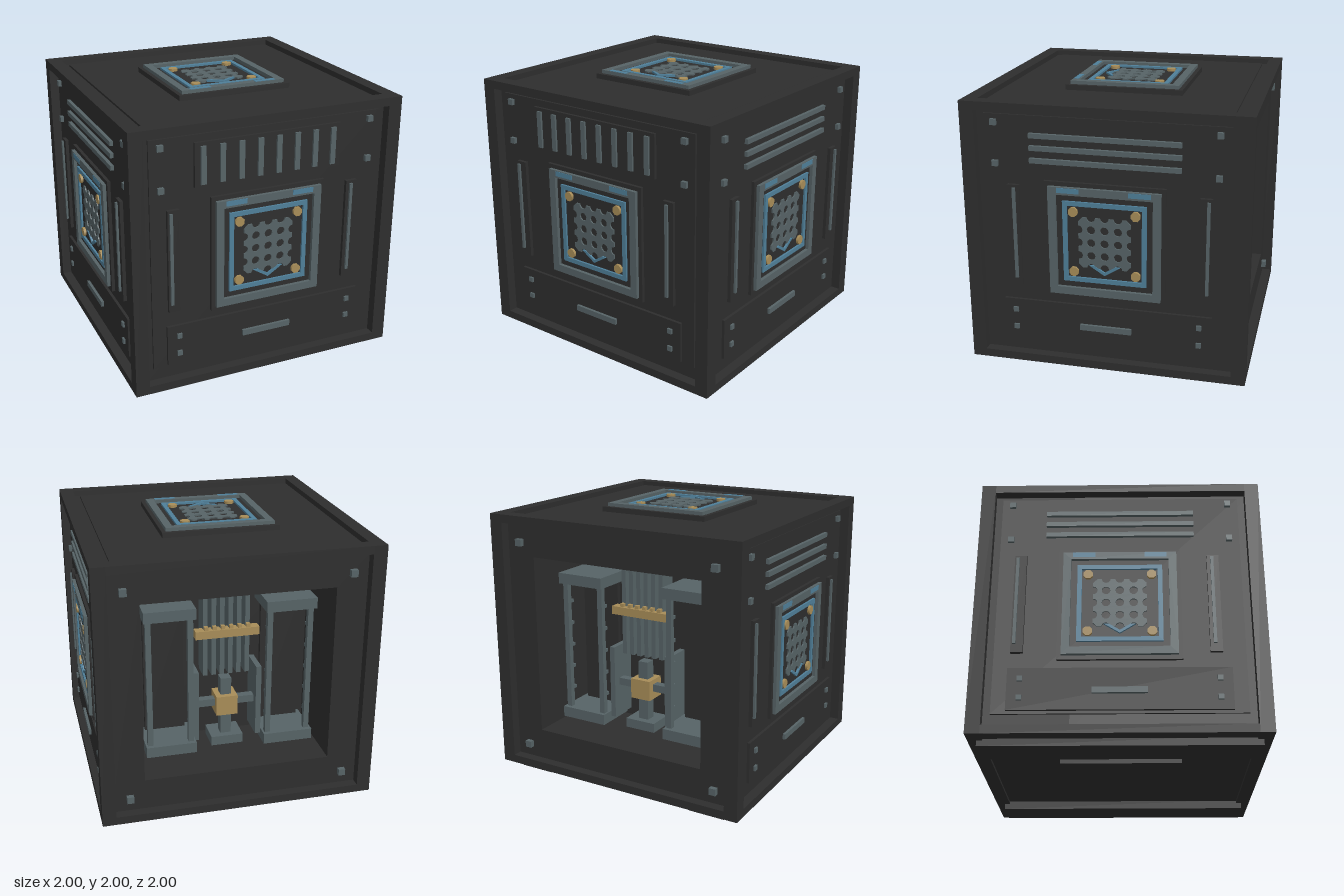
import * as THREE from 'three';

const paint = (name, color) => Object.assign(new THREE.MeshStandardMaterial({ color }), { name });

export function createModel() {
  const dark = paint('charcoal', 0x2e2e2e);
  const steel = paint('steel grey', 0x566366);
  const blue = paint('dull blue', 0x4f7f99);
  const gold = paint('brass', 0xa88d58);

  const model = new THREE.Group();
  model.name = 'machineCube';

  const group = (name, parent = model) => {
    const g = new THREE.Group();
    g.name = name;
    parent.add(g);
    return g;
  };
  const add = (parent, name, geo, mat, x = 0, y = 0, z = 0) => {
    const m = new THREE.Mesh(geo, mat);
    m.name = name;
    m.position.set(x, y, z);
    parent.add(m);
    return m;
  };
  // Box given by its limits on each axis
  const box = (parent, name, mat, x0, x1, y0, y1, z0, z1) =>
    add(parent, name, new THREE.BoxGeometry(x1 - x0, y1 - y0, z1 - z0), mat,
      (x0 + x1) / 2, (y0 + y1) / 2, (z0 + z1) / 2);
  const rect = (S, x0, x1, y0, y1) => {
    const s = new S();
    s.moveTo(x0, y0);
    s.lineTo(x1, y0);
    s.lineTo(x1, y1);
    s.lineTo(x0, y1);
    s.closePath();
    return s;
  };
  const extrude = (shape, depth) =>
    new THREE.ExtrudeGeometry(shape, { depth, bevelEnabled: false, curveSegments: 5 });
  const squareRing = (outer, inner, depth) => {
    const s = rect(THREE.Shape, -outer, outer, -outer, outer);
    s.holes.push(rect(THREE.Path, -inner, inner, -inner, inner));
    return extrude(s, depth);
  };

  // Grille plate: scalloped edge and a 3 x 3 field of round holes
  const grilleShape = () => {
    const p = 0.095, r = 0.03, h = 0.185;
    const s = new THREE.Shape();
    s.moveTo(-h + r, -h);
    for (let side = 0; side < 4; side++) {
      const a = side * Math.PI / 2, c = Math.cos(a), n = Math.sin(a);
      for (let i = -1; i <= 1; i++) {
        const x = i * p, y = -h;
        s.absarc(x * c - y * n, x * n + y * c, r, a + Math.PI, a, true);
      }
      const x = h - r, y = -h;
      s.lineTo(x * c - y * n, x * n + y * c);
      s.lineTo(h * c + x * n, h * n - x * c);
    }
    for (let i = -1; i <= 1; i++) for (let j = -1; j <= 1; j++) {
      const hole = new THREE.Path();
      hole.absarc(i * p, j * p, r, 0, Math.PI * 2, true);
      s.holes.push(hole);
    }
    return s;
  };

  // Square access port; z = 0 is its outermost level
  const port = (parent, z, tabSide) => {
    const g = group('accessPort', parent);
    g.position.z = z;
    box(g, 'portBase', dark, -0.425, 0.425, -0.425, 0.425, -0.08, -0.025);
    add(g, 'outerRing', squareRing(0.395, 0.34, 0.03), steel, 0, 0, -0.03);
    add(g, 'blueRing', squareRing(0.295, 0.263, 0.02), blue, 0, 0, -0.03);
    add(g, 'grille', extrude(grilleShape(), 0.015), steel, 0, 0, -0.03);
    for (const sx of [-1, 1]) {
      box(g, 'blueTab', blue, sx * 0.25 - 0.078, sx * 0.25 + 0.078,
        tabSide * 0.373 - 0.018, tabSide * 0.373 + 0.018, -0.005, 0.003);
      for (const sy of [-1, 1]) {
        const stud = add(g, 'brassStud', new THREE.CylinderGeometry(0.035, 0.035, 0.025, 8, 1, false, Math.PI / 8),
          gold, sx * 0.22, sy * 0.22, -0.018);
        stud.rotation.x = Math.PI / 2;
      }
    }
    const v = new THREE.Shape([[-0.11, -0.165], [0, -0.235], [0.11, -0.165], [0.075, -0.165], [0, -0.212], [-0.075, -0.165]]
      .map(([x, y]) => new THREE.Vector2(x, y)));
    add(g, 'blueChevron', extrude(v, 0.018), blue, 0, 0, -0.028);
  };

  // Outer frame: corner posts and edge beams
  const frame = group('frame');
  for (const s of [-1, 1]) {
    for (const t of [-1, 1]) {
      box(frame, 'cornerPost', dark, s * 0.95 - 0.05, s * 0.95 + 0.05, 0.04, 1.96, t * 0.95 - 0.05, t * 0.95 + 0.05);
      const y = 1 + t * 0.93;
      box(frame, 'crossBeam', dark, -0.9, 0.9, y - 0.03, y + 0.03, s * 0.95 - 0.05, s * 0.95 + 0.05);
      box(frame, 'sideBeam', dark, s * 0.95 - 0.05, s * 0.95 + 0.05, y - 0.03, y + 0.03, -0.9, 0.9);
    }
    box(model, 'foot', dark, s * 0.735 - 0.135, s * 0.735 + 0.135, 0, 0.07, -0.94, 0.94);
  }

  // Solid front half and hollow rear half
  box(model, 'core', dark, -0.93, 0.93, 0.06, 1.92, -0.33, 0.93);
  const rear = rect(THREE.Shape, -0.93, 0.93, 0.06, 1.92);
  rear.holes.push(rect(THREE.Path, -0.68, 0.68, 0.33, 1.66));
  add(model, 'rearSurround', extrude(rear, 0.6), dark, 0, 0, -0.93);
  for (const x of [-0.79, 0.79]) for (const y of [0.2, 1.76])
    box(model, 'rearBolt', steel, x - 0.025, x + 0.025, y - 0.025, y + 0.025, -0.965, -0.92);

  // Clad faces: front has an upright vent, the sides have three bars
  const face = (name, angle, flip, vented) => {
    const g = group(name);
    g.position.y = 1;
    g.rotation.y = angle;
    box(g, 'panel', dark, -0.85, 0.85, -0.805, 0.87, 0.9, 0.945);
    port(g, 0.993, 1);
    if (vented) {
      box(g, 'ventPlate', dark, -0.54, 0.54, 0.51, 0.82, 0.93, 0.965);
      for (let i = 0; i < 8; i++) {
        const x = (i - 3.5) * 0.1375;
        box(g, 'ventSlat', steel, x - 0.019, x + 0.019, 0.53, 0.795, 0.95, 0.98);
      }
    } else {
      for (const y of [0.56, 0.648, 0.735])
        box(g, 'sideBar', steel, -0.525, 0.525, y - 0.017, y + 0.017, 0.93, 0.97);
    }
    for (const [c, strip] of [[-0.695, -0.714], [0.65, 0.643]]) {
      const a = c * flip, b = strip * flip;
      box(g, 'slotHousing', dark, a - 0.042, a + 0.042, -0.37, 0.38, 0.93, 0.97);
      box(g, 'slotStrip', steel, b - 0.011, b + 0.011, -0.31, 0.36, 0.95, 0.985);
    }
    box(g, 'lowerPlate', dark, -0.75, 0.75, -0.785, -0.485, 0.93, 0.965);
    box(g, 'handle', steel, -0.185, 0.185, -0.672, -0.63, 0.95, 0.985);
    for (const s of [-1, 1]) {
      for (const y of [0.525, 0.815])
        box(g, 'panelBolt', steel, s * 0.775 - 0.021, s * 0.775 + 0.021, y - 0.021, y + 0.021, 0.93, 0.97);
      for (const y of [-0.7, -0.565])
        box(g, 'plateBolt', steel, s * 0.664 - 0.018, s * 0.664 + 0.018, y - 0.018, y + 0.018, 0.95, 0.98);
    }
  };
  face('frontFace', 0, 1, true);
  face('leftFace', Math.PI / 2, -1, false);
  face('rightFace', -Math.PI / 2, 1, false);

  // Top and underside
  const top = group('topFace');
  top.rotation.x = -Math.PI / 2;
  box(top, 'panel', dark, -0.85, 0.85, -0.845, 0.85, 1.9, 1.935);
  port(top, 1.997, -1);
  box(model, 'undersidePlate', dark, -0.425, 0.425, 0.03, 0.08, -0.425, 0.425);

  // Chamber machinery: a rack and a shield on each side
  const inside = group('machinery');
  for (const s of [-1, 1]) {
    const rack = group('rack', inside);
    rack.position.x = s * 0.44;
    box(rack, 'topSlab', steel, -0.185, 0.185, 1.43, 1.51, -0.72, -0.4);
    box(rack, 'bottomSlab', steel, -0.185, 0.185, 0.38, 0.46, -0.72, -0.4);
    box(rack, 'backPlate', dark, -0.15, 0.15, 0.46, 1.43, -0.45, -0.42);
    for (const x of [-0.15, 0.15]) {
      box(rack, 'post', steel, x - 0.02, x + 0.02, 0.46, 1.43, -0.69, -0.65);
      for (let i = 0; i < 5; i++) {
        const y = 0.6 + i * 0.17;
        box(rack, 'postPeg', steel, x - 0.012, x + 0.012, y - 0.012, y + 0.012, -0.65, -0.61);
      }
    }
    box(inside, 'shield', steel, s * 0.235 - 0.02, s * 0.235 + 0.02, 0.42, 0.97, -0.62, -0.4);
  }

  // Fin bank clamped by a brass bar
  for (let i = 0; i < 6; i++) {
    const x = (i - 2.5) * 0.062;
    box(inside, 'fin', steel, x - 0.017, x + 0.017, 0.92, 1.6, -0.57, -0.43);
    box(inside, 'clampTooth', gold, x - 0.014, x + 0.014, 1.28, 1.31, -0.6, -0.55);
  }
  box(inside, 'clampBar', gold, -0.235, 0.235, 1.225, 1.285, -0.61, -0.54);

  // Central spindle
  box(inside, 'spindlePost', steel, -0.04, 0.04, 0.42, 0.88, -0.57, -0.49);
  box(inside, 'spindleFoot', steel, -0.12, 0.12, 0.36, 0.43, -0.62, -0.42);
  box(inside, 'spindleArm', steel, -0.215, 0.215, 0.66, 0.715, -0.56, -0.5);
  box(inside, 'spindleBlock', gold, -0.08, 0.08, 0.6, 0.75, -0.61, -0.45);

  return model;
}
